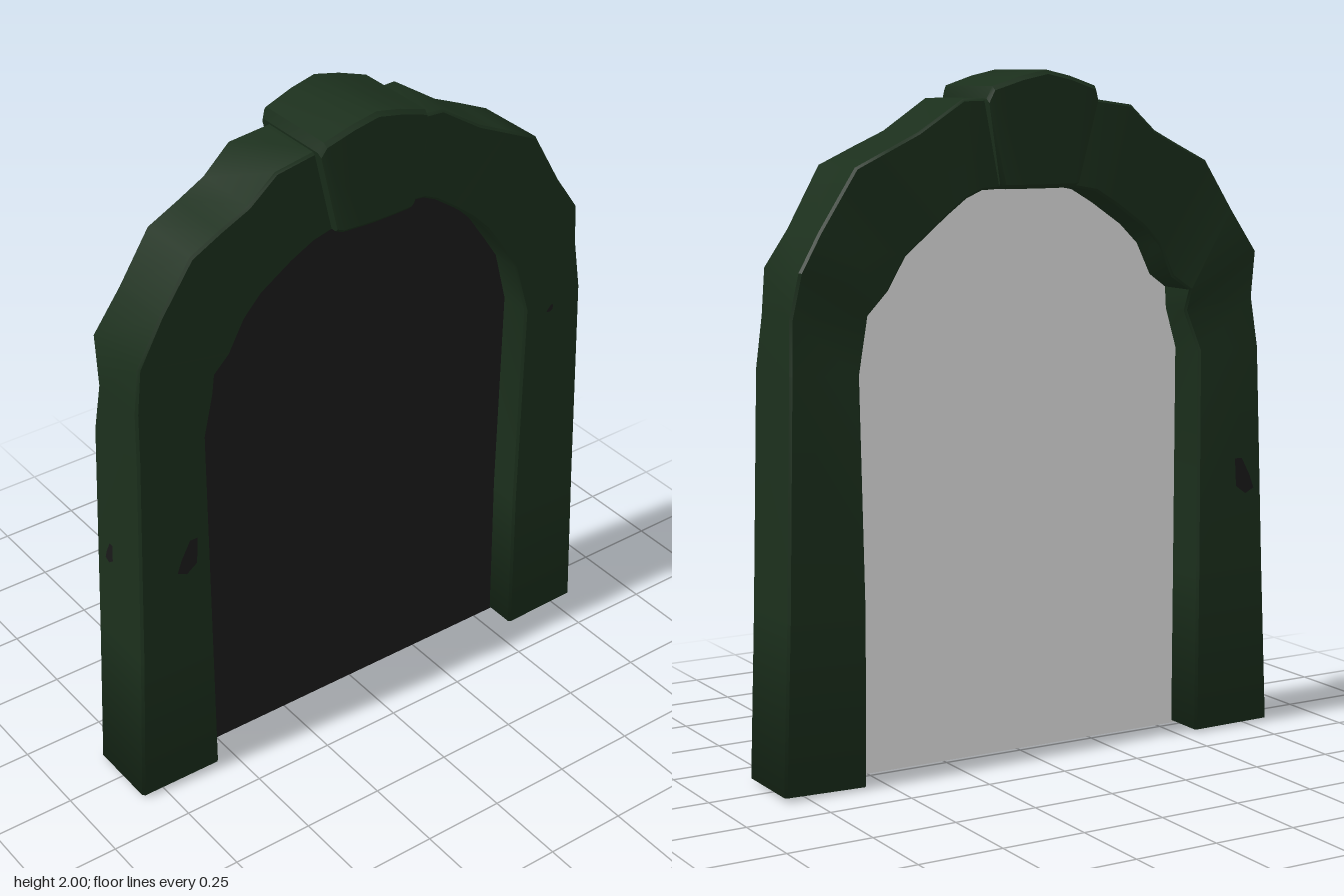
import * as THREE from 'three';
import { toCreasedNormals } from 'three/addons/utils/BufferGeometryUtils.js';

const paint = (name, color) => {
  const m = new THREE.MeshStandardMaterial({ color });
  m.name = name;
  return m;
};

// Stations: [outer x, outer y, inner x, inner y, front z, back z]
const rightStations = [
  [-0.823, 0.01, -0.556, 0.008, 0.121, -0.111],
  [-0.8, 0.5, -0.557, 0.5, 0.121, -0.111],
  [-0.776, 1.17, -0.558, 1.17, 0.12, -0.106],
  [-0.768, 1.32, -0.522, 1.29, 0.11, -0.082],
  [-0.757, 1.46, -0.518, 1.355, 0.116, -0.114],
  [-0.675, 1.588, -0.462, 1.395, 0.106, -0.102],
  [-0.577, 1.735, -0.415, 1.49, 0.111, -0.105],
  [-0.48, 1.782, -0.355, 1.548, 0.107, -0.107],
  [-0.392, 1.825, -0.255, 1.615, 0.109, -0.112],
  [-0.306, 1.9, -0.185, 1.655, 0.113, -0.116],
  [-0.15, 1.922, -0.1, 1.67, 0.105, -0.106],
];
const leftStations = [
  [0.82, 0.012, 0.567, 0.006, 0.121, -0.111],
  [0.803, 0.5, 0.563, 0.5, 0.121, -0.111],
  [0.785, 1.18, 0.574, 1.17, 0.12, -0.106],
  [0.77, 1.33, 0.533, 1.33, 0.11, -0.08],
  [0.757, 1.46, 0.487, 1.4, 0.117, -0.115],
  [0.69, 1.565, 0.425, 1.49, 0.106, -0.1],
  [0.587, 1.738, 0.36, 1.553, 0.117, -0.118],
  [0.48, 1.788, 0.3, 1.6, 0.113, -0.115],
  [0.388, 1.83, 0.235, 1.645, 0.108, -0.108],
  [0.25, 1.92, 0.19, 1.667, 0.113, -0.116],
  [0.15, 1.922, 0.1, 1.67, 0.105, -0.106],
];
const keystoneStations = [
  [-0.181, 1.925, -0.124, 1.672, 0.137, -0.135],
  [-0.168, 1.955, -0.107, 1.668, 0.146, -0.143],
  [-0.08, 1.983, -0.05, 1.668, 0.15, -0.15],
  [0, 2.0, 0, 1.668, 0.152, -0.154],
  [0.08, 1.983, 0.055, 1.668, 0.15, -0.15],
  [0.168, 1.955, 0.117, 1.668, 0.146, -0.143],
  [0.182, 1.92, 0.133, 1.672, 0.137, -0.135],
];

// Chamfered block swept through the stations; backTaper thins it toward the opening
function loftStone(stations, { bevel, backTaper = 0, flip = false }) {
  const positions = [], index = [], geo = new THREE.BufferGeometry();
  for (const [ox, oy, ix, iy, front, back] of stations) {
    const t = bevel / Math.hypot(ix - ox, iy - oy);
    const innerBack = back + backTaper;
    const ring = [
      [0, front - bevel], [t, front], [1 - t, front], [1, front - bevel],
      [1, innerBack + bevel], [1 - t, innerBack], [t, back], [0, back + bevel],
    ];
    for (const [u, z] of ring) positions.push(ox + (ix - ox) * u, oy + (iy - oy) * u, z);
  }
  const tri = (a, b, c) => (flip ? index.push(a, c, b) : index.push(a, b, c));
  const last = stations.length - 1;
  for (let s = 0; s < last; s++) {
    for (let k = 0; k < 8; k++) {
      const a = s * 8 + k, b = s * 8 + ((k + 1) % 8);
      tri(a, b, b + 8);
      tri(a, b + 8, a + 8);
    }
  }
  // End caps
  for (let k = 1; k < 7; k++) {
    const o = last * 8;
    tri(0, k + 1, k);
    tri(o, o + k, o + k + 1);
  }
  geo.setAttribute('position', new THREE.Float32BufferAttribute(positions, 3));
  geo.setIndex(index);
  return toCreasedNormals(geo, 0.6);
}

// Soft normals around the foot of a jamb, so its sides roll into the underside
function softenFoot(geo) {
  const { position, normal } = geo.attributes, n = new THREE.Vector3();
  for (let i = 0; i < position.count; i++) {
    if (position.getY(i) > 0.05) continue;
    n.fromBufferAttribute(normal, i);
    n.y -= 0.75;
    n.normalize();
    normal.setXYZ(i, n.x, n.y, n.z);
  }
  return geo;
}

export function createModel() {
  const group = new THREE.Group();
  const stone = paint('stoneGreen', 0x1b2f1c);
  const dark = paint('darkPanel', 0x1a1a1a);
  const pale = paint('paleBack', 0xe9e9e9);
  const add = (name, geo, mat) => {
    const mesh = new THREE.Mesh(geo, mat);
    mesh.name = name;
    group.add(mesh);
    return mesh;
  };

  // Stone frame
  add('rightArchHalf', softenFoot(loftStone(rightStations, { bevel: 0.007 })), stone);
  add('leftArchHalf', softenFoot(loftStone(leftStations, { bevel: 0.007, flip: true })), stone);
  add('keystone', loftStone(keystoneStations, { bevel: 0.012, backTaper: 0.018 }), stone);

  // Thin panel filling the opening, its outline hidden inside the stones
  const mid = ([ox, oy, ix, iy]) => new THREE.Vector2(ix + (ox - ix) * 0.25, iy + (oy - iy) * 0.25);
  const outline = [...rightStations.map(mid), ...leftStations.map(mid).reverse()];
  outline[0].y = outline[outline.length - 1].y = 0;
  const mirrored = outline.map((p) => new THREE.Vector2(-p.x, p.y));
  add('panelFront', new THREE.ShapeGeometry(new THREE.Shape(outline)), dark).position.z = 0.022;
  const panelBack = add('panelBack', new THREE.ShapeGeometry(new THREE.Shape(mirrored)), pale);
  panelBack.rotation.y = Math.PI;
  panelBack.position.z = 0.019;

  // Dark chips in the jambs: [name, x, y, z, turn, width scale, height scale]
  const chip = [[-0.035, -0.04], [-0.005, -0.055], [0.03, -0.03], [0.035, 0.055], [0.01, 0.055], [-0.02, 0]];
  const chips = [
    ['chipFront', -0.635, 0.8, 0.1225, 0, 1, 1],
    ['chipBack', -0.725, 0.78, -0.1125, Math.PI, -1, 1],
    ['chipReveal', -0.5555, 0.79, 0.06, Math.PI / 2, 0.6, 0.8],
    ['chipOuter', -0.7925, 0.79, -0.04, -Math.PI / 2, 0.6, 0.65],
    ['chipSmall', 0.667, 1.148, 0.1225, 0, 0.35, 0.2],
  ];
  for (const [name, x, y, z, turn, w, h] of chips) {
    // A mirrored shape keeps its front side, as outlines are wound when triangulated
    const shape = new THREE.Shape(chip.map(([u, v]) => new THREE.Vector2(u * w, v * h)));
    const mesh = add(name, new THREE.ShapeGeometry(shape), dark);
    mesh.position.set(x, y, z);
    mesh.rotation.y = turn;
  }
  return group;
}
